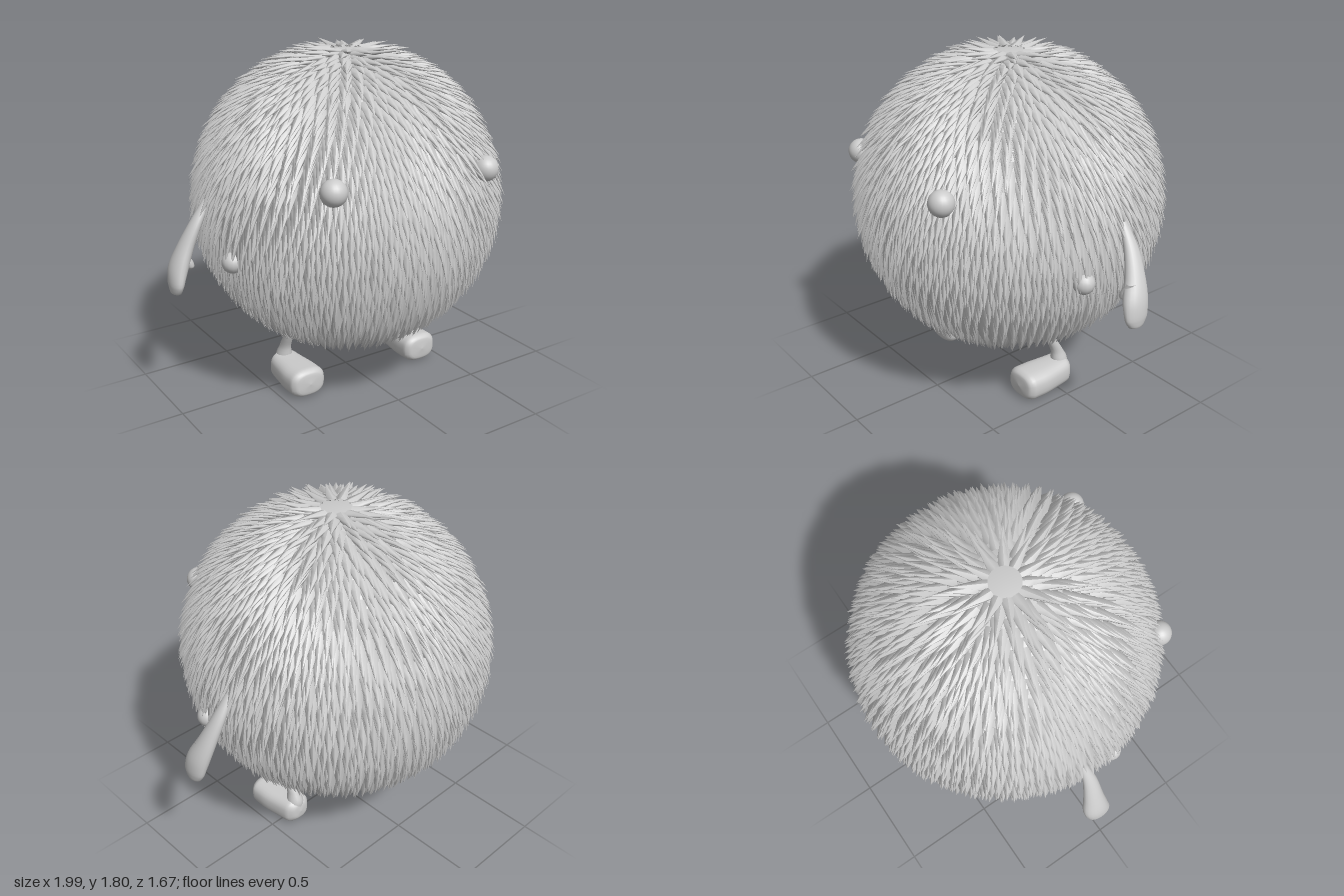
import * as THREE from 'three';
import { mergeGeometries } from 'three/addons/utils/BufferGeometryUtils.js';

const material = new THREE.MeshStandardMaterial({ color: 0xcccccc, roughness: 0.8 });
const CENTRE = 1.01, R = 0.77;

function part(name, geometry, parent) {
  const mesh = new THREE.Mesh(geometry, material);
  mesh.name = name;
  parent.add(mesh);
  return mesh;
}

// Smooth closed loft; each section is [x, y, z, halfWidth, halfDepth] in the plane x/v
function loft(sections, v, power = 1, steps = 24, sides = 20) {
  const centres = new THREE.CatmullRomCurve3(sections.map(s => new THREE.Vector3(s[0], s[1], s[2])));
  const radii = new THREE.CatmullRomCurve3(sections.map(s => new THREE.Vector3(s[3], s[4], 0)));
  const pos = [], index = [];
  const round = c => Math.sign(c) * Math.abs(c) ** power;
  for (let i = 0; i <= steps; i++) {
    const c = centres.getPoint(i / steps), r = radii.getPoint(i / steps);
    for (let j = 0; j < sides; j++) {
      const a = j / sides * Math.PI * 2;
      const p = c.clone().addScaledVector(v, Math.max(r.y, 0.001) * round(Math.sin(a)));
      p.x += Math.max(r.x, 0.001) * round(Math.cos(a));
      pos.push(p.x, p.y, p.z);
      if (i < steps) {
        const k = i * sides + j, n = i * sides + (j + 1) % sides;
        index.push(k, n, k + sides, n, n + sides, k + sides);
      }
    }
  }
  const g = new THREE.BufferGeometry();
  g.setAttribute('position', new THREE.Float32BufferAttribute(pos, 3));
  g.setIndex(index);
  g.computeVertexNormals();
  return g;
}

// Pointed tufts in staggered rings, combed from the crown down to the base
function furGeometry() {
  let seed = 7;
  const rand = () => (seed = (seed * 16807) % 2147483647) / 2147483647;
  const tufts = [];
  let row = 0;
  for (let theta = 0.1; theta < 3.02; theta += 0.06, row++) {
    const count = Math.max(12, Math.round(2 * Math.PI * Math.sin(theta) * R / 0.05));
    for (let i = 0; i < count; i++) {
      const phi = (i + (row % 2) / 2 + (rand() - 0.5) * 0.25) / count * Math.PI * 2;
      const length = 0.19 + rand() * 0.05, lift = 0.055 + rand() * 0.02;
      const side = new THREE.Vector3(Math.cos(phi), 0, -Math.sin(phi));
      const g = new THREE.ConeGeometry(1, 1, 6, 3, true);
      const p = g.attributes.position, out = new THREE.Vector3();
      for (let k = 0; k < p.count; k++) {
        const t = p.getY(k) + 0.5, a = theta + length * t;
        const up = new THREE.Vector3(Math.sin(a) * Math.sin(phi), Math.cos(a), Math.sin(a) * Math.cos(phi));
        const taper = Math.sqrt(Math.max(1 - t, 0.0001)) / Math.max(Math.sqrt(1 - t), 0.01) || 1;
        out.copy(up).multiplyScalar(R - 0.008 + lift * t ** 1.2 + p.getZ(k) * 0.022 * taper)
          .addScaledVector(side, p.getX(k) * 0.036);
        p.setXYZ(k, out.x, out.y, out.z);
      }
      g.computeVertexNormals();
      tufts.push(g);
    }
  }
  return mergeGeometries(tufts);
}

export function createModel() {
  const model = new THREE.Group();
  model.name = 'furryCreature';
  const zAxis = new THREE.Vector3(0, 0, 1), yAxis = new THREE.Vector3(0, 1, 0);

  // Round furry body
  const body = new THREE.Group();
  body.name = 'body';
  body.position.y = CENTRE;
  model.add(body);
  part('bodyCore', new THREE.SphereGeometry(R, 64, 40), body);
  const fur = part('fur', furGeometry(), body);
  fur.material = material.clone();
  fur.material.side = THREE.DoubleSide;

  // Eyes half sunk in the fur
  for (const [name, x, z] of [['rightEye', -0.47, 0.61], ['leftEye', 0.365, 0.68]]) {
    const eye = part(name, new THREE.SphereGeometry(0.065, 24, 16), model);
    eye.position.set(x, 1.25, z);
  }

  for (const s of [1, -1]) {
    const label = s > 0 ? 'left' : 'right';
    const shift = s > 0 ? 0 : -0.07;

    // Arm swelling into a mitten hand
    const arm = new THREE.Group();
    arm.name = label + 'Arm';
    model.add(arm);
    part('armAndHand', loft([
      [s * 0.77, 1.1, -0.07, 0.02, 0.02],
      [s * 0.84, 0.99, -0.065, 0.032, 0.038],
      [s * 0.90, 0.87, -0.04 + shift * 0.5, 0.042, 0.055],
      [s * 0.94, 0.77, -0.01 + shift, 0.046, 0.072],
      [s * 0.963, 0.69, 0.003 + shift, 0.034, 0.068],
      [s * 0.967, 0.645, 0.005 + shift, 0.024, 0.042],
      [s * 0.967, 0.632, 0.005 + shift, 0.001, 0.001]], zAxis), arm);
    part('thumb', loft([
      [s * 0.925, 0.85, shift, 0.02, 0.03],
      [s * 0.90, 0.80, 0.01 + shift, 0.026, 0.032],
      [s * 0.89, 0.77, 0.015 + shift, 0.022, 0.026],
      [s * 0.887, 0.752, 0.015 + shift, 0.001, 0.001]], zAxis, 1, 14, 14), arm);

    // Small nub showing through the fur beside the hand
    const nub = part(label + 'SideNub', new THREE.SphereGeometry(0.055, 16, 12), model);
    nub.position.set(s * 0.755, 0.83, 0.15);

    // Thin slanted leg and blocky rounded foot
    const leg = new THREE.Group();
    leg.name = label + 'Leg';
    model.add(leg);
    const x = s * 0.37;
    part('shin', loft([
      [x, 0.38, 0.04, 0.022, 0.022],
      [x, 0.28, 0.005, 0.026, 0.027],
      [x, 0.2, -0.035, 0.029, 0.035],
      [x, 0.14, -0.05, 0.045, 0.048],
      [x, 0.08, -0.045, 0.05, 0.045]], zAxis, 1, 16, 16), leg);
    part('foot', loft([
      [x, 0.085, -0.1, 0.001, 0.001],
      [x, 0.085, -0.094, 0.045, 0.045],
      [x, 0.082, -0.06, 0.08, 0.074],
      [x, 0.08, 0.02, 0.092, 0.076],
      [x, 0.08, 0.12, 0.103, 0.078],
      [x, 0.082, 0.19, 0.102, 0.078],
      [x, 0.082, 0.222, 0.078, 0.06],
      [x, 0.082, 0.23, 0.001, 0.001]], yAxis, 0.75, 32, 28), leg);
  }
  return model;
}
